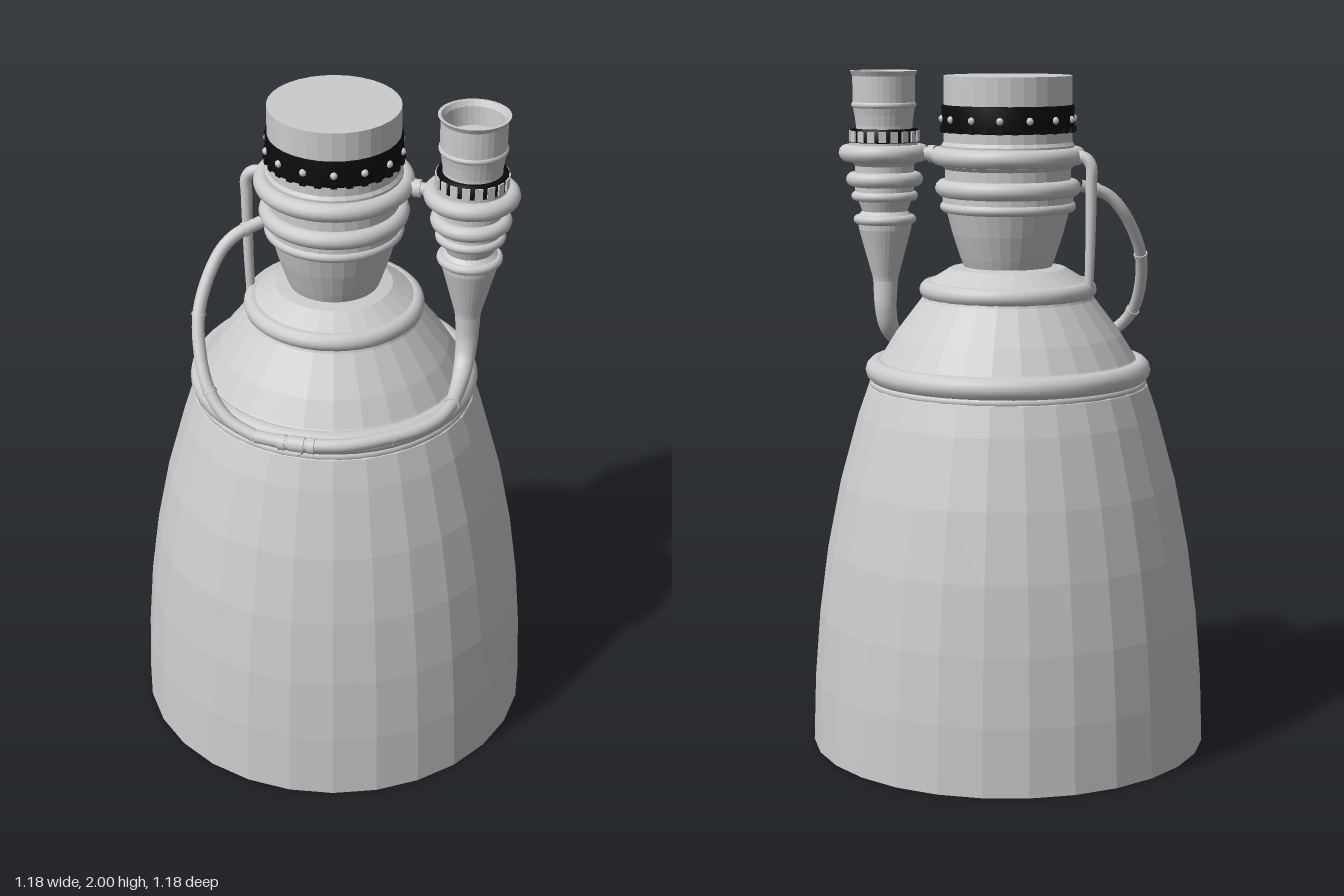
import * as THREE from 'three';

const grey = new THREE.MeshStandardMaterial({ color: 0xcccccc });
const facet = new THREE.MeshStandardMaterial({ color: 0xcccccc, flatShading: true });
const black = new THREE.MeshStandardMaterial({ color: 0x0c0c0c });

function add(parent, name, geometry, material = grey) {
  const mesh = new THREE.Mesh(geometry, material);
  mesh.name = name;
  parent.add(mesh);
  return mesh;
}

// Turned part from [radius, height] pairs
function turned(parent, name, profile, sides, material = facet) {
  const pts = profile.map(([r, y]) => new THREE.Vector2(r, y));
  return add(parent, name, new THREE.LatheGeometry(pts, sides), material);
}

// Horizontal ring given its outer radius
function ring(parent, name, outer, tube, y, sides = 48) {
  const g = new THREE.TorusGeometry(outer - tube, tube, 12, sides).rotateX(Math.PI / 2);
  add(parent, name, g).position.y = y;
}

const curveOf = (pts) => new THREE.CatmullRomCurve3(pts.map((p) => new THREE.Vector3(...p)), false, 'centripetal');

// Round pipe whose radius runs from r0 to r1
function pipe(parent, name, curve, r0, r1 = r0, steps = 48, sides = 14) {
  const g = new THREE.TubeGeometry(curve, steps, 1, sides);
  const pos = g.attributes.position, v = new THREE.Vector3();
  for (let i = 0; i < pos.count; i++) {
    const t = Math.floor(i / (sides + 1)) / steps;
    const c = curve.getPointAt(t);
    v.fromBufferAttribute(pos, i).sub(c).multiplyScalar(r0 + (r1 - r0) * t).add(c);
    pos.setXYZ(i, v.x, v.y, v.z);
  }
  add(parent, name, g);
}

// Short sleeve around a pipe
function collar(parent, curve, t, radius, length) {
  const m = add(parent, 'pipeCollar', new THREE.CylinderGeometry(radius, radius, length, 16));
  m.position.copy(curve.getPointAt(t));
  m.quaternion.setFromUnitVectors(new THREE.Vector3(0, 1, 0), curve.getTangentAt(t));
}

function createNozzle() {
  const g = new THREE.Group();
  g.name = 'nozzle';
  const bell = [[0.59, 0], [0.583, 0.2], [0.567, 0.4], [0.54, 0.6], [0.5, 0.8], [0.445, 1], [0.415, 1.085]];
  turned(g, 'bell', bell, 28);
  // Dark inside wall, closed at the top
  const inside = bell.map(([r, y], i) => [i ? r - 0.007 : r, y]).reverse();
  turned(g, 'bellInside', [[0, 1.08], ...inside], 28, black);
  turned(g, 'upperCone', [[0.415, 1.085], [0.405, 1.09], [0.4, 1.14], [0.378, 1.165], [0.335, 1.235], [0.255, 1.34],
    [0.235, 1.39], [0.17, 1.43], [0.13, 1.435]], 28);
  ring(g, 'lowerManifold', 0.423, 0.034, 1.13);
  ring(g, 'lowerManifoldLip', 0.412, 0.014, 1.092);
  ring(g, 'throatManifold', 0.262, 0.027, 1.367);
  return g;
}

function createChamber() {
  const g = new THREE.Group();
  g.name = 'chamber';
  turned(g, 'chamberBody', [[0.125, 1.42], [0.14, 1.46], [0.163, 1.53], [0.18, 1.595], [0.192, 1.605], [0.192, 1.64],
    [0.185, 1.645], [0.185, 1.72], [0.195, 1.73], [0.195, 1.79], [0.188, 1.8], [0.188, 1.99], [0, 1.99]], 32);
  ring(g, 'lowerChamberRing', 0.214, 0.026, 1.665);
  ring(g, 'middleChamberRing', 0.2, 0.015, 1.61);
  ring(g, 'upperChamberRing', 0.228, 0.027, 1.758);
  // Dark band with bolts and teeth
  turned(g, 'darkBand', [[0.186, 1.828], [0.194, 1.83], [0.194, 1.905], [0.186, 1.907]], 32, black);
  for (let i = 0; i < 14; i++) {
    const a = ((i + 0.5) / 14) * Math.PI * 2;
    const bolt = add(g, 'bandBolt', new THREE.SphereGeometry(0.011, 8, 6));
    bolt.position.set(Math.sin(a) * 0.193, 1.866, Math.cos(a) * 0.193);
  }
  for (let i = 0; i < 28; i++) {
    const a = (i / 28) * Math.PI * 2;
    const tooth = add(g, 'bandTooth', new THREE.BoxGeometry(0.018, 0.016, 0.008), black);
    tooth.position.set(Math.sin(a) * 0.195, 1.836, Math.cos(a) * 0.195);
    tooth.rotation.y = a;
  }
  return g;
}

function createPump() {
  const g = new THREE.Group();
  g.name = 'turbopump';
  g.position.x = 0.392;
  // Body with an open, recessed top
  turned(g, 'pumpBody', [[0.037, 1.375], [0.04, 1.39], [0.078, 1.53], [0.082, 1.57], [0.068, 1.585], [0.088, 1.64],
    [0.088, 1.72], [0.1, 1.735], [0.1, 1.79], [0.084, 1.8], [0.084, 1.84], [0.088, 1.87], [0.093, 1.895],
    [0.093, 1.985], [0.101, 2], [0.092, 2], [0.084, 1.985], [0.08, 1.93], [0, 1.93]], 32, facet);
  ring(g, 'pumpMainRing', 0.136, 0.026, 1.758);
  ring(g, 'pumpMiddleRing', 0.115, 0.022, 1.68);
  ring(g, 'pumpThinRing', 0.1, 0.014, 1.63);
  ring(g, 'pumpLowerRing', 0.094, 0.014, 1.56);
  ring(g, 'pumpNeckRing', 0.097, 0.01, 1.9);
  // Ribbed dark band
  turned(g, 'pumpBand', [[0.084, 1.788], [0.1, 1.79], [0.1, 1.828], [0.084, 1.83]], 32, black);
  for (let i = 0; i < 18; i++) {
    const a = (i / 18) * Math.PI * 2;
    const rib = add(g, 'pumpRib', new THREE.BoxGeometry(0.022, 0.032, 0.008));
    rib.position.set(Math.sin(a) * 0.1, 1.808, Math.cos(a) * 0.1);
    rib.rotation.y = a;
  }
  return g;
}

function createPipes() {
  const g = new THREE.Group();
  g.name = 'pipes';
  // Pump outlet bending forward
  const outlet = curveOf([[0.392, 1.39, 0], [0.392, 1.29, 0], [0.391, 1.235, 0.02], [0.39, 1.197, 0.07],
    [0.388, 1.183, 0.13], [0.386, 1.177, 0.18]]);
  pipe(g, 'pumpOutlet', outlet, 0.038, 0.02);
  collar(g, outlet, 0.985, 0.022, 0.012);
  // Feed line round the front of the nozzle
  const feed = curveOf([[0.386, 1.177, 0.18], [0.365, 1.172, 0.25], [0.32, 1.17, 0.315], [0.245, 1.168, 0.375],
    [0.13, 1.164, 0.435], [0, 1.162, 0.455], [-0.12, 1.168, 0.452]]);
  pipe(g, 'feedLine', feed, 0.019);
  collar(g, feed, 0.38, 0.021, 0.008);
  // Return line looping up to the chamber
  const loop = curveOf([[-0.12, 1.168, 0.452], [-0.2, 1.2, 0.435], [-0.265, 1.265, 0.4], [-0.308, 1.37, 0.34],
    [-0.318, 1.47, 0.285], [-0.285, 1.59, 0.21], [-0.245, 1.64, 0.175], [-0.18, 1.667, 0.125]]);
  pipe(g, 'returnLine', loop, 0.018);
  for (const t of [0.25, 0.55, 0.93]) collar(g, loop, t, 0.021, 0.01);
  // Joint at the front centre
  for (const x of [-0.042, 0, 0.042]) {
    const m = add(g, 'frontJoint', new THREE.CylinderGeometry(0.023, 0.023, x ? 0.02 : 0.045, 16));
    m.rotation.z = Math.PI / 2;
    m.position.set(x, 1.162, 0.455);
  }
  pipe(g, 'frontInlet', curveOf([[0, 1.15, 0.46], [0, 1.135, 0.435], [0, 1.13, 0.39]]), 0.02, 0.02, 12);
  // Downpipe on the right side
  pipe(g, 'downpipe', curveOf([[-0.19, 1.76, 0], [-0.235, 1.757, 0], [-0.255, 1.735, 0], [-0.256, 1.68, 0],
    [-0.254, 1.5, 0], [-0.25, 1.37, 0]]), 0.018, 0.013);
  // Link between chamber and pump
  for (const [r, l] of [[0.018, 0.1], [0.026, 0.02]]) {
    const m = add(g, 'pumpLink', new THREE.CylinderGeometry(r, r, l, 16));
    m.rotation.z = Math.PI / 2;
    m.position.set(0.238, 1.758, 0);
  }
  return g;
}

export function createModel() {
  const model = new THREE.Group();
  model.name = 'rocketEngine';
  model.add(createNozzle(), createChamber(), createPump(), createPipes());
  return model;
}
